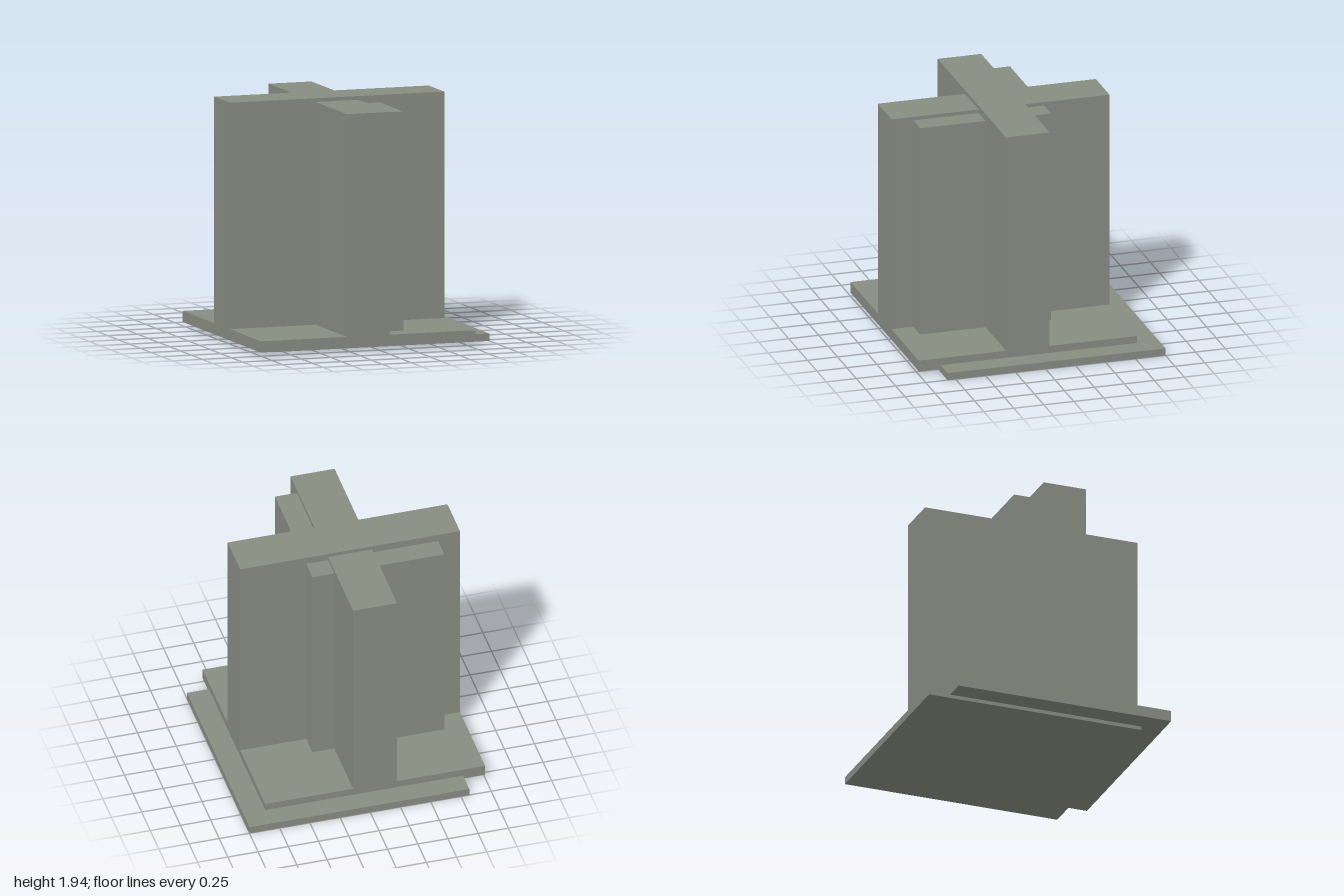
import * as THREE from 'three';

export function createModel() {
  const model = new THREE.Group();
  const stone = new THREE.MeshStandardMaterial({ color: 0x888d82 });
  stone.name = 'greyGreenStone';

  // Plan grid: the footprint is 22 steps wide
  const u = 1 / 11;

  // Box given by its limits: x and z in grid steps, y in units
  function block(name, [x0, x1], [y0, y1], [z0, z1]) {
    const geometry = new THREE.BoxGeometry((x1 - x0) * u, y1 - y0, (z1 - z0) * u);
    const mesh = new THREE.Mesh(geometry, stone);
    mesh.position.set(((x0 + x1) / 2) * u, (y0 + y1) / 2, ((z0 + z1) / 2) * u);
    mesh.name = name;
    model.add(mesh);
  }

  // Two overlapping base plates, shifted diagonally
  block('lowerPlate', [-9, 11], [0, 0.06], [-11, 9]);
  block('upperPlate', [-11, 9], [0.03, 0.12], [-9, 11]);

  // Crossing walls: the one along x is slightly taller
  block('crossWall', [-11, 9], [0.12, 1.94], [-1, 3]);
  block('lengthWall', [-3, 1], [0.12, 1.91], [-9, 11]);

  // Shorter L-shaped core that shows in the corners of the cross
  const core = new THREE.Shape(
    [[-9, -1], [-1, -1], [-1, -9], [3, -9], [3, 3], [-9, 3]]
      .map(([x, y]) => new THREE.Vector2(x * u, y * u)),
  );
  const coreGeometry = new THREE.ExtrudeGeometry(core, { depth: 1.76, bevelEnabled: false });
  coreGeometry.rotateX(-Math.PI / 2);
  const coreMesh = new THREE.Mesh(coreGeometry, stone);
  coreMesh.position.y = 0.12;
  coreMesh.name = 'cornerCore';
  model.add(coreMesh);

  return model;
}
